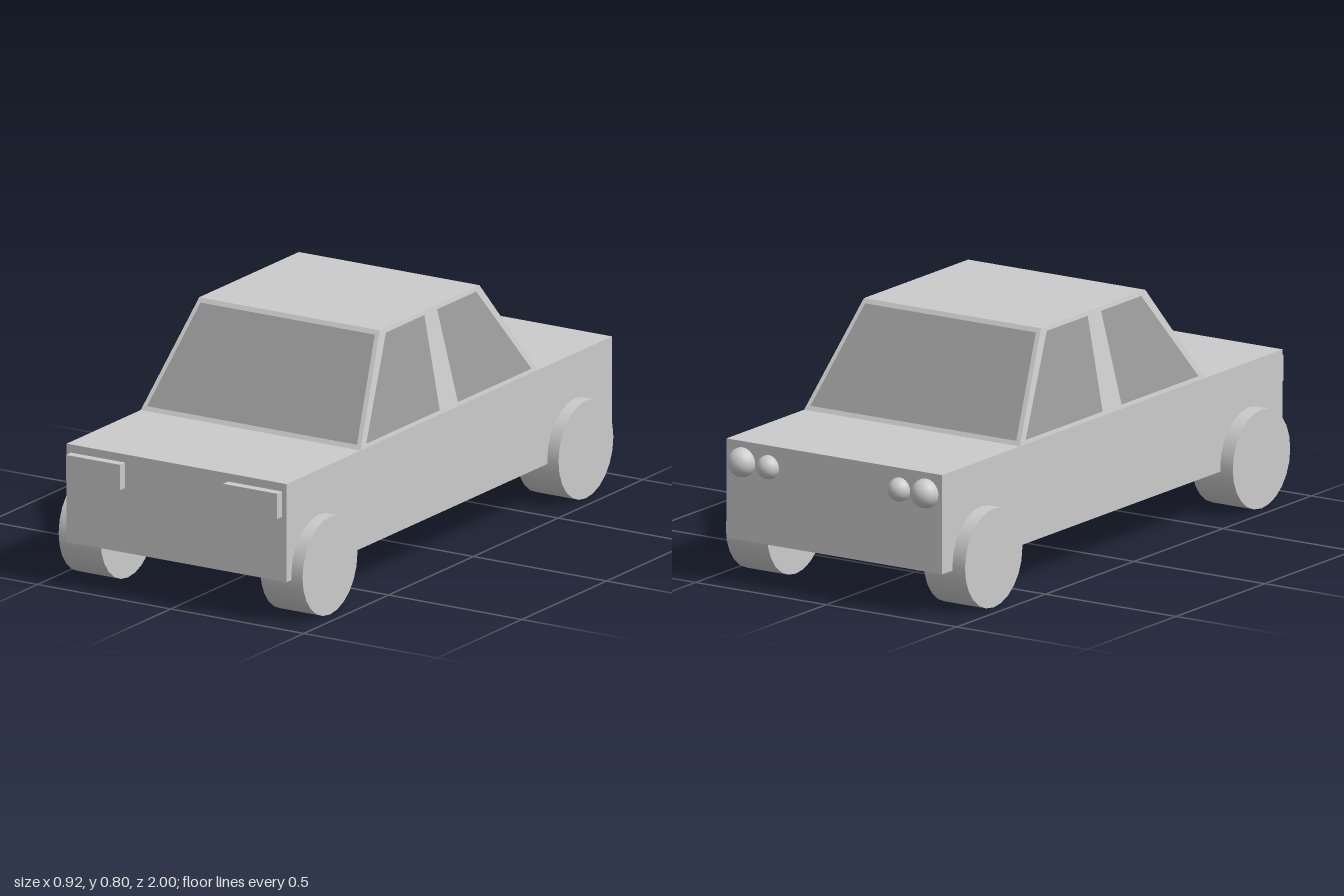
import * as THREE from 'three';

const CX = 0.003; // body sits a touch off the wheel centre line
const Y0 = 0.473, Y1 = 0.8; // cabin base and roof heights

const paint = new THREE.MeshStandardMaterial({ color: 0xcccccc });
const glass = new THREE.MeshStandardMaterial({ color: 0x9b9b9b });

// Cabin outline at height y: half width, front z and rear z
function cabinAt(y) {
  const t = (y - Y0) / (Y1 - Y0), lerp = THREE.MathUtils.lerp;
  return { half: lerp(0.413, 0.339, t), front: lerp(0.533, 0.304, t), rear: lerp(-0.512, -0.284, t) };
}

// Flat four-cornered panel, corners counter-clockwise, lifted slightly off its face
function panel(corners) {
  const [a, b, c, d] = corners.map((p) => new THREE.Vector3(...p));
  const lift = b.clone().sub(a).cross(d.clone().sub(a)).normalize().multiplyScalar(0.0015);
  const geo = new THREE.BufferGeometry().setFromPoints([a, b, c, d].map((p) => p.add(lift)));
  geo.setIndex([0, 1, 2, 0, 2, 3]);
  geo.computeVertexNormals();
  return geo;
}

export function createModel() {
  const car = new THREE.Group();
  car.name = 'car';
  const add = (name, geo, x = 0, y = 0, z = 0, mat = paint) => {
    const mesh = new THREE.Mesh(geo, mat);
    mesh.name = name;
    mesh.position.set(x, y, z);
    car.add(mesh);
    return mesh;
  };

  // Lower body
  add('body', new THREE.BoxGeometry(0.826, 0.325, 1.92), CX, 0.3105, 0.01);

  // Cabin: a box tapered towards the roof
  const cabin = new THREE.BoxGeometry(1, 1, 1);
  const pos = cabin.attributes.position;
  for (let i = 0; i < pos.count; i++) {
    const y = pos.getY(i) > 0 ? Y1 : Y0;
    const c = cabinAt(y);
    pos.setXYZ(i, Math.sign(pos.getX(i)) * c.half, y, pos.getZ(i) > 0 ? c.front : c.rear);
  }
  cabin.computeVertexNormals();
  add('cabin', cabin, CX);

  // Windows
  const lo = 0.486, hi = 0.786;
  const L = cabinAt(lo), H = cabinAt(hi);
  const wl = L.half - 0.016, wh = H.half - 0.015;
  add('frontWindow', panel([[-wl, lo, L.front], [wl, lo, L.front], [wh, hi, H.front], [-wh, hi, H.front]]), CX, 0, 0, glass);
  add('rearWindow', panel([[wl, lo, L.rear], [-wl, lo, L.rear], [-wh, hi, H.rear], [wh, hi, H.rear]]), CX, 0, 0, glass);

  // Side windows as z at [bottom front, bottom rear, top rear, top front]
  const sideWindows = { Front: [0.498, 0.064, 0.048, 0.275], Rear: [-0.043, -0.477, -0.258, -0.027] };
  for (const [side, s] of [['left', 1], ['right', -1]]) {
    for (const [end, [a, b, c, d]] of Object.entries(sideWindows)) {
      const corners = [[s * L.half, lo, a], [s * L.half, lo, b], [s * H.half, hi, c], [s * H.half, hi, d]];
      if (s < 0) corners.reverse();
      add(`${side}${end}SideWindow`, panel(corners), CX, 0, 0, glass);
    }

    // Wheels
    const wheel = new THREE.CylinderGeometry(0.162, 0.162, 0.158, 24).rotateZ(Math.PI / 2);
    add(`${side}FrontWheel`, wheel, s * 0.379, 0.162, 0.78);
    add(`${side}RearWheel`, wheel, s * 0.379, 0.162, -0.73);

    // Flat lamps at the front, pairs of round lamps at the back
    add(`${side}FlatLamp`, new THREE.BoxGeometry(0.203, 0.084, 0.05), CX + s * 0.295, 0.404, 0.975);
    add(`${side}LargeRoundLamp`, new THREE.SphereGeometry(0.048, 24, 16), CX + s * 0.351, 0.405, -0.952);
    add(`${side}SmallRoundLamp`, new THREE.SphereGeometry(0.039, 24, 16), CX + s * 0.251, 0.403, -0.951);
  }
  return car;
}
